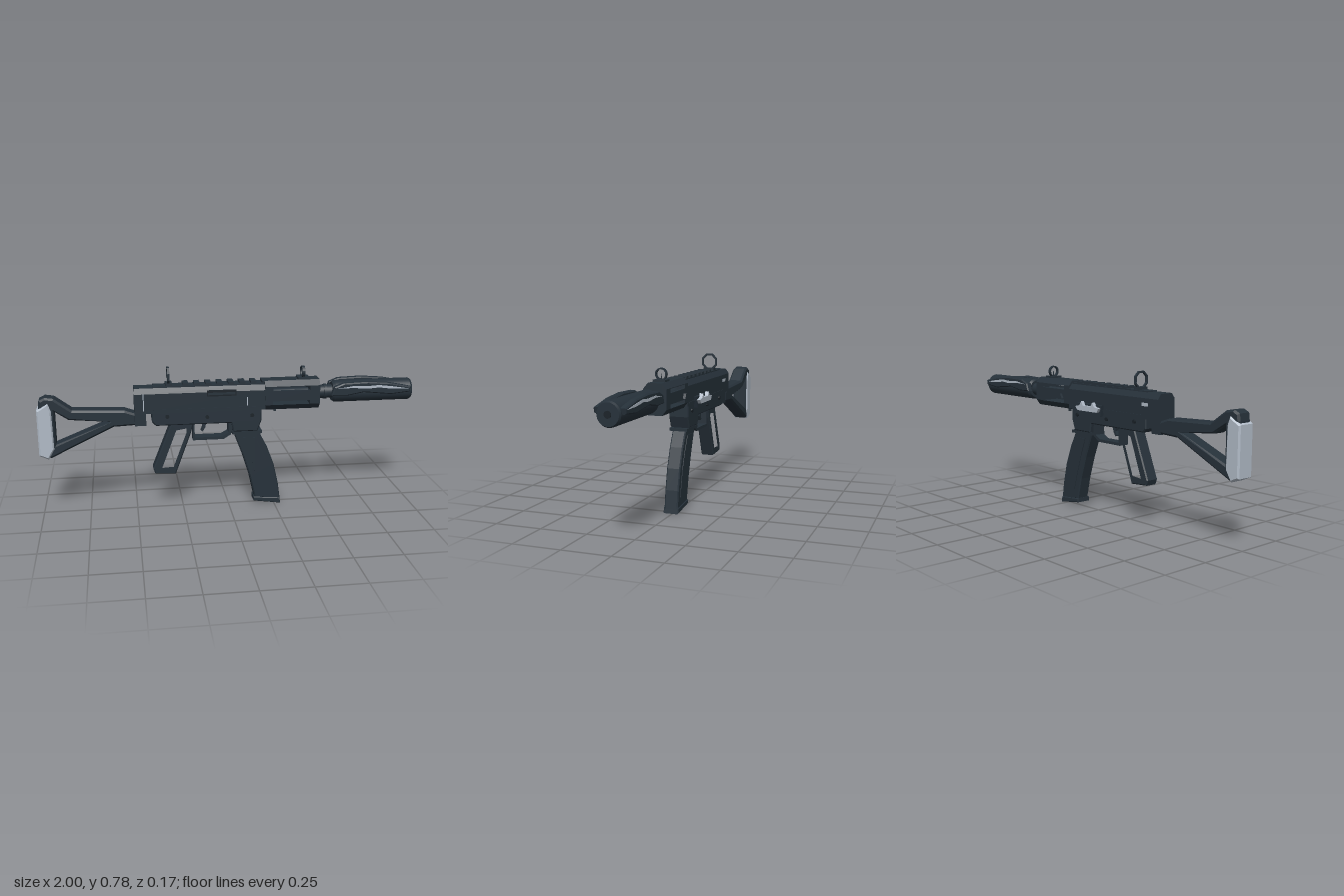
import * as THREE from 'three';

export function createModel() {
  const model = new THREE.Group();
  const mat = (name, color) => {
    const m = new THREE.MeshStandardMaterial({ color });
    m.name = name;
    return m;
  };
  const dark = mat('gunmetal', 0x26313a);
  const black = mat('black', 0x1a2228);
  const silver = mat('silver', 0xb0bac6);

  const add = (name, geo, m = dark) => {
    const mesh = new THREE.Mesh(geo, m);
    mesh.name = name;
    model.add(mesh);
    return mesh;
  };
  const toV = (pts) => pts.map(([x, y]) => new THREE.Vector2(x, y));
  const outline = (pts, holes = []) => {
    const s = new THREE.Shape(toV(pts));
    holes.forEach((h) => s.holes.push(new THREE.Path(toV(h))));
    return s;
  };
  // Side outline in x, y, running from z0 to z1 with optional chamfer
  const slab = (name, pts, z0, z1, { bevel = 0, holes, m } = {}) => {
    const geo = new THREE.ExtrudeGeometry(outline(pts, holes), {
      depth: z1 - z0 - 2 * bevel, bevelEnabled: bevel > 0, bevelSize: bevel,
      bevelThickness: bevel, bevelOffset: -bevel, bevelSegments: 1,
    });
    return add(name, geo.translate(0, 0, z0 + bevel), m);
  };
  // Cross-section in z, y, running from x0 to x1
  const bar = (name, pts, x0, x1, { holes, m } = {}) => {
    const geo = new THREE.ExtrudeGeometry(outline(pts, holes), { depth: x1 - x0, bevelEnabled: false });
    return add(name, geo.rotateY(Math.PI / 2).translate(x0, 0, 0), m);
  };
  const box = (name, x0, x1, y0, y1, z0, z1, m) => add(name,
    new THREE.BoxGeometry(x1 - x0, y1 - y0, z1 - z0)
      .translate((x0 + x1) / 2, (y0 + y1) / 2, (z0 + z1) / 2), m);
  // Cylinder along x on the bore line
  const bore = 0.622;
  const tube = (name, x0, x1, r0, r1 = r0, m = dark) => add(name,
    new THREE.CylinderGeometry(r1, r0, x1 - x0, 32)
      .rotateZ(-Math.PI / 2).translate((x0 + x1) / 2, bore, 0), m);
  const ngon = (n, r, cy, turn = 0) => Array.from({ length: n }, (_, i) => {
    const a = (i / n) * Math.PI * 2 + turn;
    return [r * Math.cos(a), cy + r * Math.sin(a)];
  });

  // Skeleton stock and butt pad
  slab('stock', [[-0.99, 0.60], [-0.985, 0.635], [-0.955, 0.65], [-0.91, 0.643], [-0.82, 0.577],
    [-0.55, 0.566], [-0.49, 0.545], [-0.49, 0.485], [-0.61, 0.48], [-0.94, 0.322], [-0.985, 0.345]],
  -0.042, 0.042, { bevel: 0.01,
    holes: [[[-0.91, 0.575], [-0.91, 0.395], [-0.63, 0.508], [-0.84, 0.527]]] });
  slab('buttPad', [[-1, 0.585], [-0.94, 0.622], [-0.924, 0.578], [-0.92, 0.372], [-0.952, 0.318], [-1, 0.34]],
    -0.049, 0.049, { bevel: 0.008, m: silver });

  // Receiver
  bar('upperReceiver', [[-0.058, 0.55], [0.058, 0.55], [0.058, 0.655], [0.038, 0.682], [-0.038, 0.682],
    [-0.058, 0.655]], -0.5, 0.19);
  slab('lowerReceiver', [[-0.41, 0.57], [-0.41, 0.50], [-0.39, 0.48], [0.01, 0.48], [0.02, 0.43],
    [0.15, 0.43], [0.172, 0.49], [0.172, 0.57]], -0.053, 0.053, { bevel: 0.006 });
  box('magazineLip', 0.015, 0.175, 0.415, 0.43, -0.05, 0.05);
  box('receiverRidge', -0.40, 0.17, 0.562, 0.57, -0.061, 0.061);
  box('stockHinge', -0.5, -0.44, 0.48, 0.56, -0.04, 0.04);

  // Ejection port with cover, and side slits
  box('ejectionPort', -0.12, 0.035, 0.632, 0.664, 0.05, 0.0595, black);
  box('portCover', -0.115, 0.03, 0.64, 0.652, 0.055, 0.0625);
  box('rearSlit', -0.455, -0.45, 0.565, 0.655, 0.053, 0.0595, silver);
  box('frontSlit', 0.09, 0.096, 0.575, 0.622, 0.053, 0.0595, silver);
  box('rearMark', -0.43, -0.385, 0.615, 0.632, -0.0595, -0.055, silver);
  [[-0.12, 0.52], [-0.33, 0.53], [0.12, 0.52]].forEach(([x, y]) => {
    add('pin', new THREE.CylinderGeometry(0.01, 0.01, 0.122, 12).rotateX(Math.PI / 2).translate(x, y, 0), black);
  });

  // Side lever on the right
  slab('leverBase', [[-0.09, 0.53], [0.08, 0.53], [0.10, 0.59], [-0.10, 0.59]], -0.074, -0.05);
  slab('leverPlate', [[-0.08, 0.552], [0.075, 0.552], [0.095, 0.572], [0.06, 0.58], [0.045, 0.602],
    [0.03, 0.58], [-0.03, 0.58], [-0.045, 0.602], [-0.06, 0.58], [-0.095, 0.575]],
  -0.092, -0.072, { m: silver });

  // Toothed top rail
  box('railBase', -0.40, 0.19, 0.68, 0.688, -0.034, 0.034);
  for (let i = 0; i < 8; i++) {
    const x = -0.245 + i * 0.06;
    box('railTooth', x, x + 0.03, 0.686, 0.70, -0.036, 0.036);
  }

  // Handguard: solid ends joined by strips that leave open slots
  const guard = [[-0.036, 0.542], [0.036, 0.542], [0.06, 0.572], [0.06, 0.672], [0.036, 0.70],
    [-0.036, 0.70], [-0.06, 0.672], [-0.06, 0.572]];
  bar('handguardRear', guard, 0.188, 0.23);
  bar('handguardFront', guard, 0.43, 0.484);
  bar('handguardTop', [[-0.06, 0.669], [0.06, 0.669], [0.06, 0.672], [0.036, 0.70], [-0.036, 0.70],
    [-0.06, 0.672]], 0.23, 0.43);
  bar('handguardBottom', [[-0.036, 0.542], [0.036, 0.542], [0.06, 0.572], [-0.06, 0.572]], 0.23, 0.43);
  [-1, 1].forEach((s) => box('handguardSide', 0.23, 0.43, 0.592, 0.648,
    s < 0 ? -0.06 : 0.045, s < 0 ? -0.045 : 0.06));
  box('handguardNub', 0.247, 0.257, 0.522, 0.545, -0.006, 0.006);
  slab('sideNub', [[0.235, 0.60], [0.265, 0.60], [0.25, 0.625]], -0.074, -0.058);

  // Barrel and suppressor
  tube('barrel', 0.23, 0.60, 0.026);
  tube('barrelSleeve', 0.48, 0.57, 0.036);
  tube('barrelCollar', 0.515, 0.53, 0.04);
  tube('suppressorBack', 0.56, 0.575, 0.05, 0.059);
  tube('suppressor', 0.575, 0.985, 0.059);
  tube('suppressorTip', 0.985, 0.996, 0.059, 0.053);
  tube('muzzle', 0.99, 1.0, 0.017, 0.017, black);

  // Angular side panels with a bright streak
  const panel = [[0.545, 0.615], [0.56, 0.66], [0.61, 0.68], [0.74, 0.684], [0.86, 0.674], [0.98, 0.65],
    [0.975, 0.622], [0.87, 0.612], [0.72, 0.628], [0.63, 0.612]];
  const streak = [[0.575, 0.653], [0.66, 0.665], [0.74, 0.662], [0.80, 0.666], [0.88, 0.656], [0.965, 0.642],
    [0.87, 0.644], [0.80, 0.653], [0.74, 0.648], [0.66, 0.655]];
  [-1, 1].forEach((s) => {
    const span = (a, b) => (s > 0 ? [a, b] : [-b, -a]);
    slab('suppressorPanel', panel, ...span(0.042, 0.077), { bevel: 0.006 });
    slab('panelStreak', streak, ...span(0.072, 0.079), { m: silver });
  });

  // Rear ring sight in an eight-sided frame
  bar('rearSightFrame', ngon(8, 0.048, 0.737, Math.PI / 8), -0.325, -0.313,
    { holes: [ngon(8, 0.038, 0.737, Math.PI / 8)] });
  box('rearSightBase', -0.335, -0.30, 0.68, 0.702, -0.03, 0.03);

  // Front ring sight with post
  bar('frontSightRing', ngon(20, 0.031, 0.736), 0.392, 0.408, { holes: [ngon(20, 0.024, 0.736)] });
  bar('frontSightPost', [[-0.003, 0.705], [0.003, 0.705], [0, 0.738]], 0.397, 0.403);
  box('frontSightBase', 0.37, 0.432, 0.698, 0.71, -0.032, 0.032);

  // Open-frame pistol grip
  slab('grip', [[-0.31, 0.485], [-0.19, 0.485], [-0.205, 0.43], [-0.29, 0.20], [-0.40, 0.207], [-0.41, 0.235]],
    -0.037, 0.037, { bevel: 0.006,
      holes: [[[-0.288, 0.452], [-0.225, 0.462], [-0.222, 0.435], [-0.297, 0.237], [-0.37, 0.234]]] });

  // Trigger and guard
  slab('triggerGuard', [[-0.195, 0.485], [-0.195, 0.385], [-0.03, 0.385], [0.01, 0.41], [0.025, 0.485]],
    -0.03, 0.03, { holes: [[[-0.185, 0.48], [-0.185, 0.40], [-0.038, 0.40], [-0.003, 0.42], [-0.003, 0.48]]] });
  slab('trigger', [[-0.15, 0.49], [-0.118, 0.49], [-0.126, 0.45], [-0.14, 0.427], [-0.15, 0.432], [-0.14, 0.455]],
    -0.012, 0.012);

  // Curved magazine
  slab('magazine', [[0.02, 0.43], [0.155, 0.43], [0.205, 0.335], [0.245, 0.23], [0.27, 0.12], [0.283, 0.025],
    [0.142, 0.04], [0.115, 0.16], [0.075, 0.285]], -0.037, 0.037, { bevel: 0.006 });
  slab('magazinePanel', [[0.075, 0.39], [0.14, 0.39], [0.18, 0.31], [0.215, 0.22], [0.238, 0.12], [0.245, 0.08],
    [0.17, 0.09], [0.145, 0.18], [0.11, 0.295]], -0.04, 0.04);
  slab('magazineBase', [[0.135, 0.045], [0.28, 0.032], [0.285, 0], [0.135, 0.022]], -0.041, 0.041,
    { bevel: 0.004 });

  model.children.forEach((c) => { c.position.z = 0.007; });
  return model;
}
